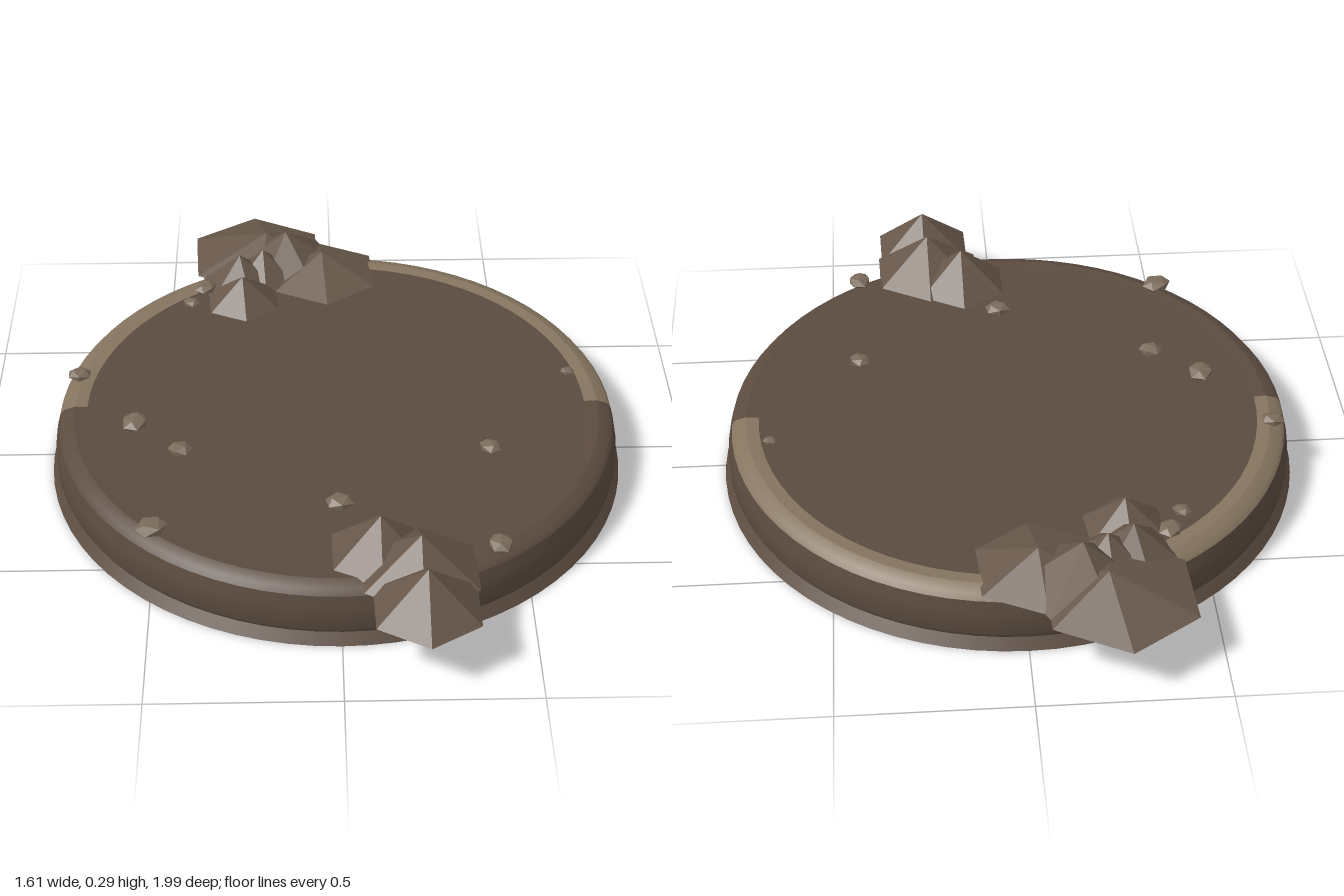
import * as THREE from 'three';

const mat = (name, color, extra = {}) => {
  const m = new THREE.MeshStandardMaterial({ color, side: THREE.DoubleSide, ...extra });
  m.name = name;
  return m;
};

export function createModel() {
  const group = new THREE.Group();
  const earth = mat('dark earth', 0x5b4b3f);
  const rim = mat('pale rim', 0x85745f);
  const rock = mat('rock brown', 0x67574a, { flatShading: true });
  const pebble = mat('pebble', 0x7a6a5a, { flatShading: true });

  const add = (name, geometry, material, parent = group) => {
    const mesh = new THREE.Mesh(geometry, material);
    mesh.name = name;
    parent.add(mesh);
    return mesh;
  };
  const lathe = (name, pts, material, start = 0, sweep = Math.PI * 2) =>
    add(name, new THREE.LatheGeometry(pts.map(p => new THREE.Vector2(...p)),
      Math.round(72 * sweep / (Math.PI * 2)), start, sweep), material);

  // Hollow round base, open underneath; separate bands keep the edges crisp
  lathe('foot', [[0.805, 0], [0.783, 0.03]], earth);
  lathe('wall', [[0.783, 0.03], [0.79, 0.045], [0.79, 0.09], [0.785, 0.115], [0.777, 0.145]], earth);
  const half = Math.PI / 2;
  for (const [name, start, material] of [['frontRim', -half, earth], ['backRim', half, rim]]) {
    lathe(name + 'Bevel', [[0.777, 0.145], [0.765, 0.16], [0.735, 0.17]], material, start, Math.PI);
    lathe(name + 'Top', [[0.735, 0.17], [0.70, 0.168]], material, start, Math.PI);
  }
  const top = add('topDisc', new THREE.CircleGeometry(0.702, 72), earth);
  top.rotation.x = -Math.PI / 2;
  top.position.y = 0.168;

  // Six-sided peaks: x, z, radius, summit height, turn, summit shift in x and z
  const peaks = {
    backHills: [
      [-0.23, -0.785, 0.215, 0.245, 0.05, 0.03, 0.0],
      [-0.13, -0.73, 0.16, 0.288, 0.5, -0.01, 0.01],
      [-0.03, -0.67, 0.18, 0.24, 0.08, 0, -0.01],
      [-0.27, -0.53, 0.12, 0.257, 0.1, 0, 0.01],
      [-0.28, -0.63, 0.115, 0.263, 0.3, 0, 0],
      [-0.21, -0.66, 0.11, 0.262, 0.1, 0, 0],
    ],
    frontHills: [
      [0.1, 0.63, 0.145, 0.285, 0.02, 0, 0],
      [0.2, 0.7, 0.17, 0.288, 0.02, 0, 0.01],
      [0.21, 0.84, 0.152, 0.288, 0.02, 0, 0],
    ],
  };
  for (const [name, list] of Object.entries(peaks)) {
    const hills = new THREE.Group();
    hills.name = name;
    group.add(hills);
    for (const [x, z, r, y, turn, dx, dz] of list) {
      const h = y - 0.165;
      const geo = new THREE.ConeGeometry(r, h, 6);
      geo.rotateY(turn);
      const p = geo.attributes.position;
      for (let i = 0; i < p.count; i++) {
        if (p.getY(i) > 0) p.setXYZ(i, p.getX(i) + dx, p.getY(i), p.getZ(i) + dz);
      }
      add('peak', geo, rock, hills).position.set(x, 0.165 + h / 2, z);
    }
  }

  // Scattered flat pebbles: x, z, radius
  const pebbles = [
    [-0.73, -0.13, 0.034], [-0.56, 0.1, 0.042], [-0.43, 0.22, 0.034], [-0.49, 0.55, 0.044],
    [0.415, 0.225, 0.032], [0, 0.455, 0.038], [0.41, 0.63, 0.038], [0.665, -0.125, 0.02],
    [-0.385, -0.57, 0.036], [-0.425, -0.495, 0.026],
  ];
  pebbles.forEach(([x, z, r], i) => {
    const stone = add('pebble', new THREE.IcosahedronGeometry(r, 0), pebble);
    stone.scale.set(1.05, 0.45, 0.9);
    stone.rotation.y = i * 1.3;
    stone.position.set(x, 0.176 + r * 0.35, z);
  });

  return group;
}
